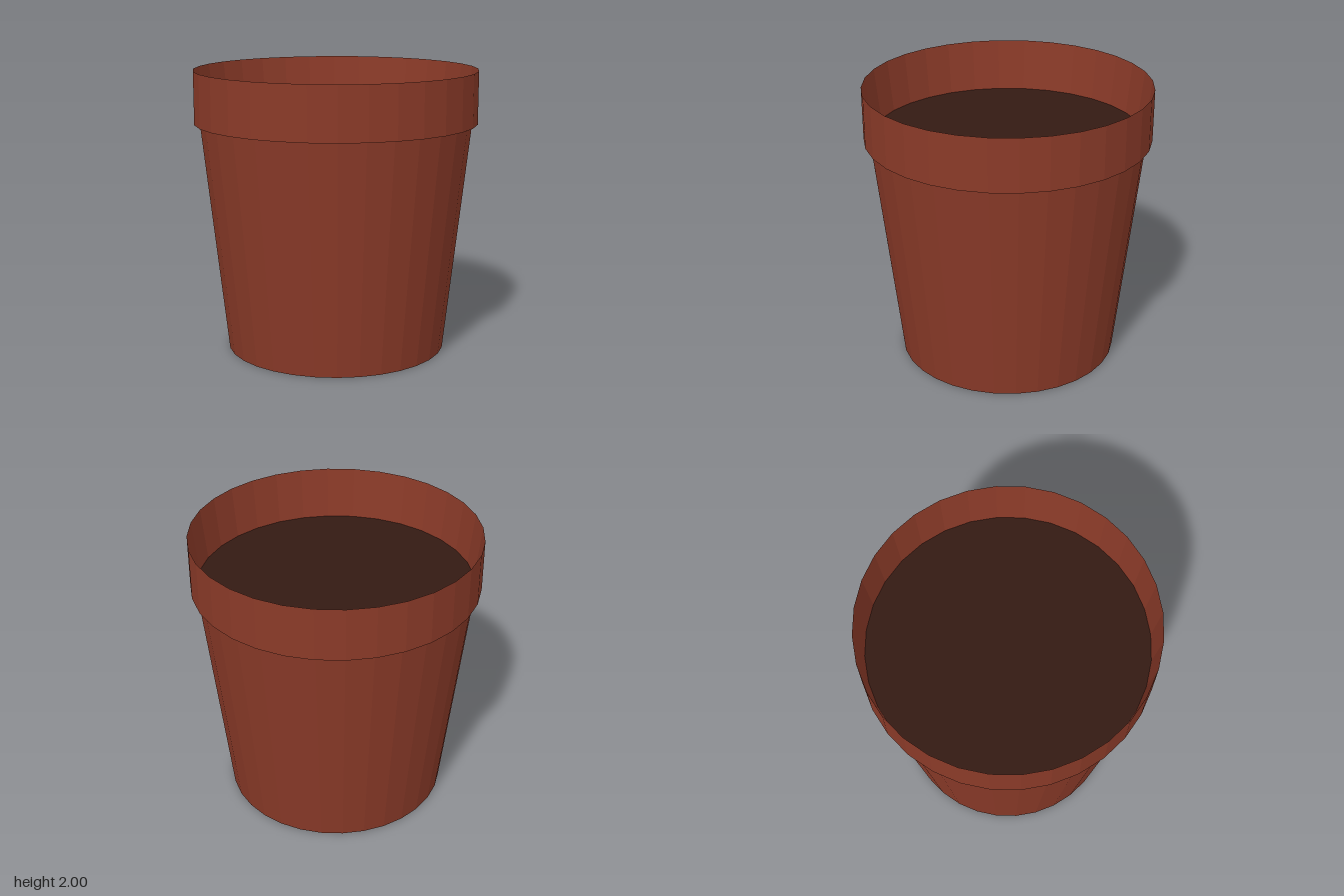
import * as THREE from 'three';

const SIDES = 32;
const RIM_Y = 1.63;
const clay = new THREE.MeshStandardMaterial({ color: 0x8a3a28, flatShading: true });
const soilMat = new THREE.MeshStandardMaterial({ color: 0x341a13, flatShading: true });

// Revolves a profile of [radius, height] pairs, listed upward on the outside
function revolve(name, profile, material) {
  const points = profile.map(([r, y]) => new THREE.Vector2(r, y));
  const mesh = new THREE.Mesh(new THREE.LatheGeometry(points, SIDES), material);
  mesh.name = name;
  return mesh;
}

export function createModel() {
  const pot = new THREE.Group();
  pot.name = 'flowerPot';

  // Tapered body with a closed base
  pot.add(revolve('body', [[0, 0], [0.78, 0], [0.96, RIM_Y]], clay));

  // Straight collar whose inner wall slopes in from a thin lip
  pot.add(revolve('rim', [[1, RIM_Y], [1, 2], [0.96, RIM_Y]], clay));

  // Dark ledge under the collar
  pot.add(revolve('rimUnderside', [[0.96, RIM_Y], [1, RIM_Y]], soilMat));

  // Soil filling the pot up to the bottom of the collar
  pot.add(revolve('soil', [[0.96, RIM_Y], [0, RIM_Y]], soilMat));

  return pot;
}
